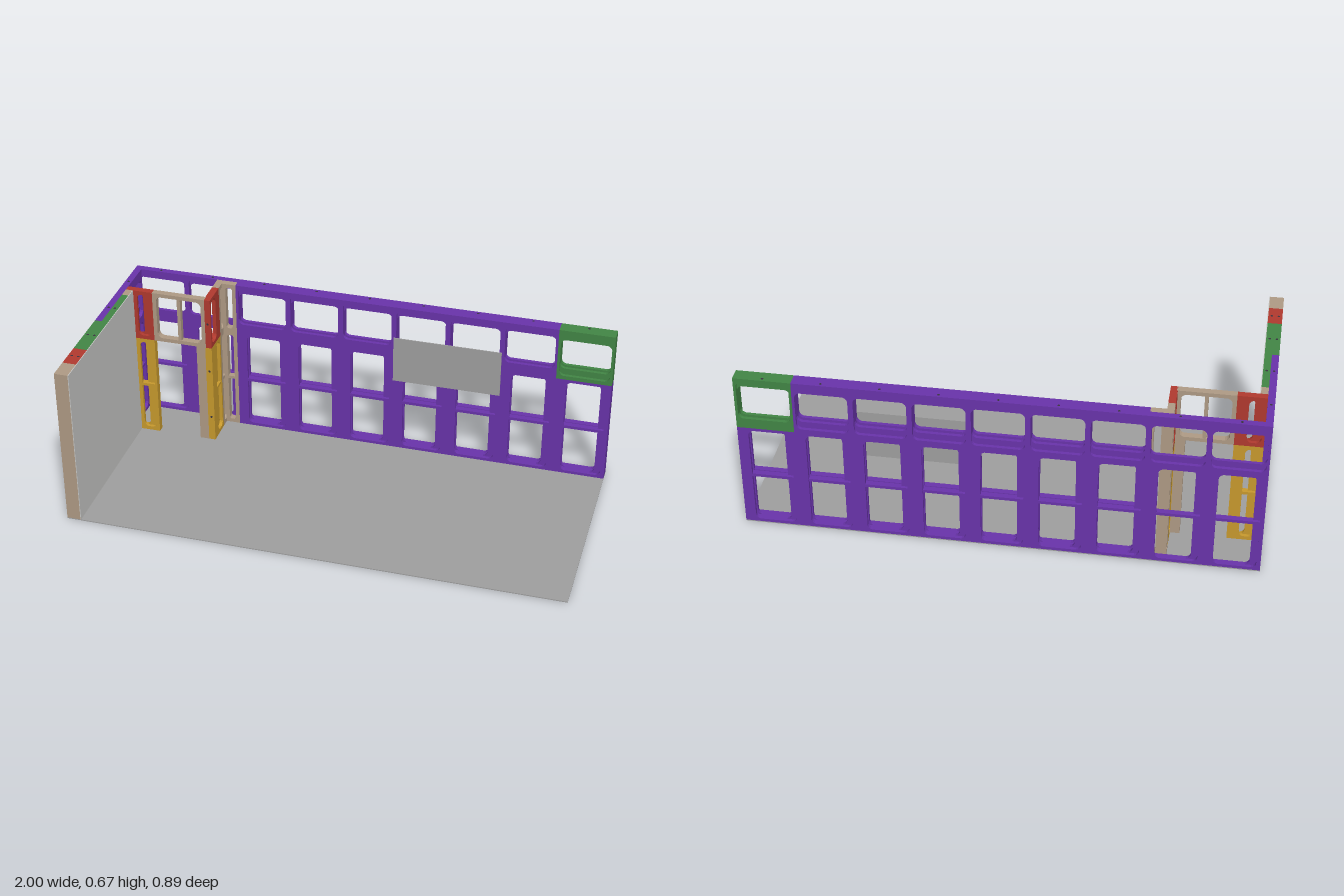
import * as THREE from 'three';

const mat = (name, color) => Object.assign(new THREE.MeshStandardMaterial({ color }), { name });

export function createModel() {
  const root = new THREE.Group();
  root.name = 'framedRoom';
  const purple = mat('purple', 0x6a34ac), green = mat('green', 0x438746), red = mat('red', 0xb23a2f);
  const gold = mat('gold', 0xc99b2e), tan = mat('tan', 0xb09c86), grey = mat('grey', 0xa0a0a0);
  const pale = mat('paleGrey', 0xcacac8), dark = mat('holeDark', 0x3a3540);

  const W = 2 / 9, HALF = W / 2, T = 0.0275;      // panel width, half panel, layer thickness
  const Y0 = 0.004, LOW = 0.444, TOPY = Y0 + LOW, UP = 0.222;

  // window outline with clipped corners
  function windowPath(a, b, c, d) {
    const k = Math.min(0.018, (c - a) * 0.3);
    const p = new THREE.Path();
    p.moveTo(a + k, b);
    p.lineTo(c - k, b); p.quadraticCurveTo(c - k * 0.2, b + k * 0.2, c, b + k);
    p.lineTo(c, d - k); p.quadraticCurveTo(c - k * 0.2, d - k * 0.2, c - k, d);
    p.lineTo(a + k, d); p.quadraticCurveTo(a + k * 0.2, d - k * 0.2, a, d - k);
    p.lineTo(a, b + k); p.quadraticCurveTo(a + k * 0.2, b + k * 0.2, a + k, b);
    return p;
  }

  // one framed panel: two slabs whose windows are offset, so the opening is stepped
  // m = [left, bottom, right, top] margins of the front slab; the rear slab swaps them
  function panel(name, material, w, h, m, bar, x, y, z, side) {
    const g = new THREE.Group();
    g.name = name;
    const margins = [[m[2], m[3], m[0], m[1]], m];
    margins.forEach(([l, b, r, t], i) => {
      const s = new THREE.Shape([[0, 0], [w, 0], [w, h], [0, h]].map(p => new THREE.Vector2(...p)));
      s.holes.push(windowPath(l, b, w - r, h - t));
      const geo = new THREE.ExtrudeGeometry(s, { depth: T / 2, bevelEnabled: false, curveSegments: 3 });
      const mesh = new THREE.Mesh(geo, material);
      mesh.name = i ? 'frontFrame' : 'rearFrame';
      mesh.position.z = i * T / 2;
      g.add(mesh);
    });
    if (bar) {
      const rail = new THREE.Mesh(new THREE.BoxGeometry(w - 0.01, 0.012, T - 0.004), material);
      rail.name = 'middleRail';
      rail.position.set(w / 2, h / 2, T / 2);
      g.add(rail);
    }
    g.position.set(x, y, z);
    if (side) g.rotation.y = -Math.PI / 2;        // width runs along +z, thickness along -x
    root.add(g);
    return g;
  }
  const TALL = [0.042, 0.012, 0.016, 0.012], WIDE = [0.01, 0.042, 0.01, 0.016];
  const WIDEF = [0.01, 0.016, 0.01, 0.042];
  const HALFM = [0.045, 0.016, 0.011, 0.016], HALFF = [0.011, 0.016, 0.045, 0.016];
  const NARROW = [0.016, 0.016, 0.016, 0.016];

  function box(name, material, x0, x1, y0, y1, z0, z1) {
    const m = new THREE.Mesh(new THREE.BoxGeometry(x1 - x0, y1 - y0, z1 - z0), material);
    m.name = name;
    m.position.set((x0 + x1) / 2, (y0 + y1) / 2, (z0 + z1) / 2);
    root.add(m);
  }

  // floor
  box('floor', grey, -1, 1, 0, Y0, -0.445, 0.445);

  // back wall: outer layer of nine panels, inner layer of seven
  for (let layer = 0; layer < 2; layer++) {
    const z = -0.445 + layer * T;
    for (let i = layer * 2; i < 9; i++) {
      const x = -1 + i * W, last = i === 8;
      panel('backLowerPanel', purple, W, LOW, TALL, true, x, Y0, z);
      panel('backUpperPanel', last ? green : purple, W, UP, last ? WIDEF : WIDE, false, x, TOPY, z);
    }
  }
  // filler between booth and inner back layer
  panel('backLowerFiller', tan, 0.06, LOW, NARROW, true, -0.6155, Y0, -0.4175);
  panel('backUpperFiller', tan, 0.06, UP, NARROW, false, -0.6155, TOPY, -0.4175);

  // left-hand wall, outer layer
  const zs = -0.4175, xo = -1 + T, xi = xo + T;
  for (let i = 0; i < 3; i++) {
    panel('sideLowerPanel', purple, W, LOW, TALL, true, xo, Y0, zs + i * W, true);
    panel('sideUpperPanel', i === 2 ? green : purple, W, UP, WIDE, false, xo, TOPY, zs + i * W, true);
  }
  // left-hand wall, inner layer
  const zi = zs + W;
  for (let i = 0; i < 2; i++) {
    panel('sideInnerLowerPanel', purple, W, LOW, TALL, true, xi, Y0, zi + i * W, true);
    panel('sideInnerUpperPanel', green, W, UP, WIDE, false, xi, TOPY, zi + i * W, true);
  }
  box('sideInnerFiller', tan, xo, xi, Y0, TOPY + UP, -0.24, zi);
  // both layers end in a half panel and a narrow end panel
  const zh = zs + 3 * W, ze = zh + HALF;
  for (const x of [xo, xi]) {
    panel('sideLowerHalfPanel', gold, HALF, LOW, HALFM, true, x, Y0, zh, true);
    panel('sideUpperHalfPanel', red, HALF, UP, HALFM, false, x, TOPY, zh, true);
    panel('sideLowerEndPanel', tan, 0.445 - ze, LOW, NARROW, true, x, Y0, ze, true);
    panel('sideUpperEndPanel', tan, 0.445 - ze, UP, NARROW, false, x, TOPY, ze, true);
  }
  // lining sheet and hanging board
  box('liningSheet', pale, xi, xi + 0.003, Y0, TOPY + UP, -0.24, 0.445);
  box('wallBoard', grey, 0.111, 0.555, 0.33, 0.53, -0.39, -0.386);

  // booth front: half panel, doorway with twin window above, door post
  const zf = -0.24 - T, xb = xo + HALF;
  panel('boothLowerHalfPanel', gold, HALF, LOW, HALFM, true, xo, Y0, zf);
  panel('boothUpperHalfPanel', red, HALF, UP, HALFM, false, xo, TOPY, zf);
  panel('boothWindow', tan, W, UP, NARROW, false, xb, TOPY, zf);
  box('boothMullion', tan, xb + HALF - 0.007, xb + HALF + 0.007, TOPY + 0.01, TOPY + UP - 0.01, zf + 0.002, zf + T - 0.002);
  box('doorPost', tan, -0.68, -0.642, Y0, TOPY, zf, -0.24);

  // booth side wall
  const xr = -0.6145, zr = -0.24 - HALF;
  panel('boothSideLowerHalf', gold, HALF, LOW, HALFM, true, xr, Y0, zr, true);
  panel('boothSideUpperHalf', red, HALF, UP, HALFF, false, xr, TOPY, zr, true);
  panel('boothSideLowerNarrow', tan, zr - zs, LOW, NARROW, true, xr, Y0, zs, true);
  panel('boothSideUpperNarrow', tan, zr - zs, UP, NARROW, false, xr, TOPY, zs, true);

  // bolt holes on the exposed edges
  const disc = new THREE.CylinderGeometry(0.005, 0.005, 0.001, 10);
  function hole(x, y, z, axis) {
    const m = new THREE.Mesh(disc, dark);
    m.name = 'boltHole';
    m.position.set(x, y, z);
    if (axis === 'x') m.rotation.z = Math.PI / 2;
    if (axis === 'z') m.rotation.x = Math.PI / 2;
    root.add(m);
  }
  const top = TOPY + UP;
  for (const y of [0.115, 0.337, 0.56]) {
    hole(1, y, -0.431, 'x');
    hole(1, y, -0.404, 'x');
    hole(-0.628, y, -0.24, 'z');
  }
  for (let i = 0; i < 9; i++) hole(-1 + (i + 0.5) * W, top, -0.431);
  for (const z of [-0.306, -0.084, 0.138, 0.303]) {
    hole(-0.986, top, z);
    if (z > -0.1) hole(-0.959, top, z);
  }
  return root;
}
